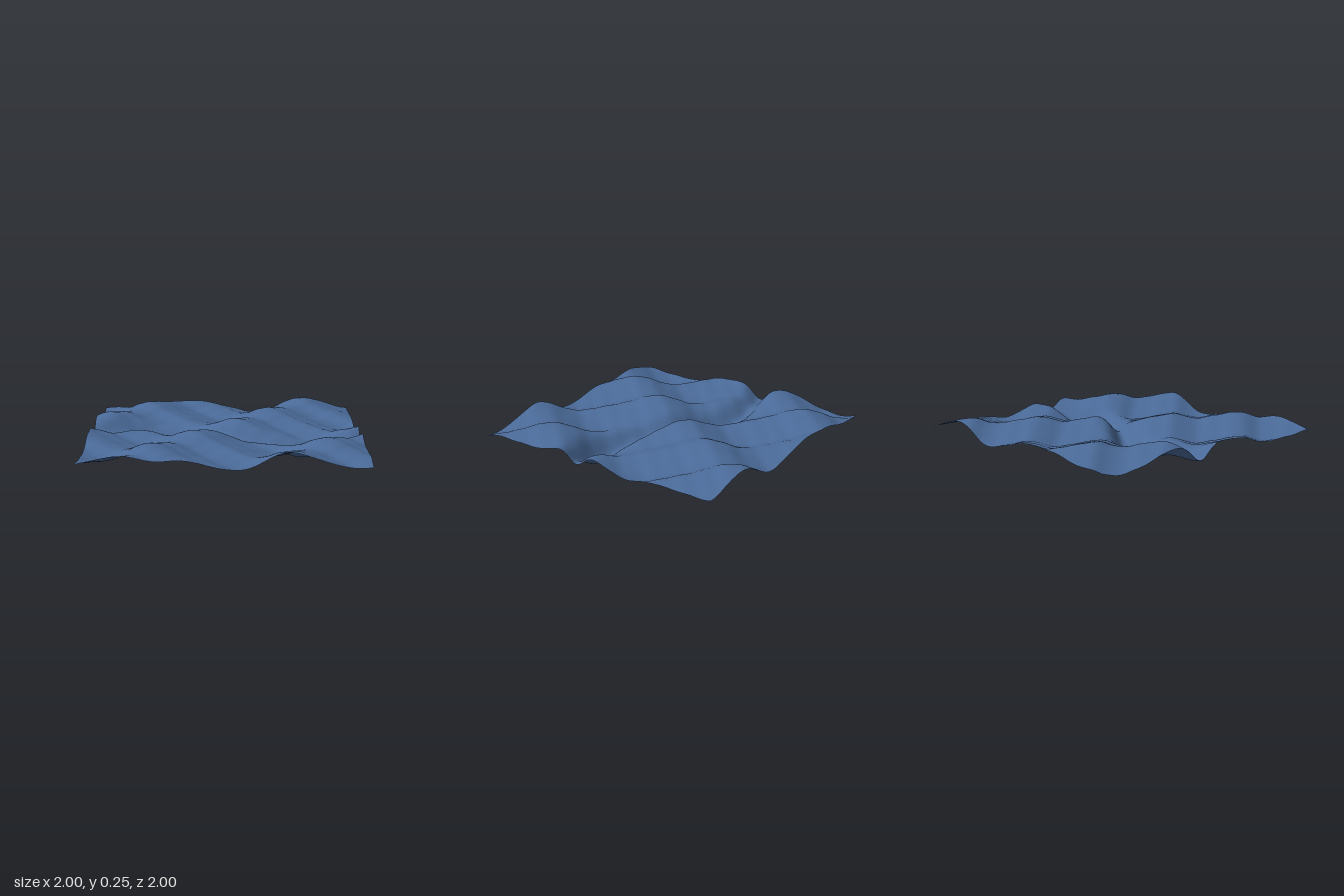
import * as THREE from 'three';

const SIZE = 2;
const SEGMENTS = 160;

// Height of the rolling ground: two crossing swells, finer ripples, and a winding channel
function heightAt(x, z) {
  const swell = 5.7 * x + 3.8 * z;
  const cross = 9 * (x - z);
  const ground =
    0.165 +
    0.042 * Math.cos(swell - 0.33) -
    0.01 * Math.sin(2 * (swell - 0.54)) +
    0.02 * Math.sin(cross) +
    0.004 * Math.sin(2 * cross) +
    0.003 * Math.sin(32 * x) * Math.cos(30 * z);
  const offset = z - 0.01 - 0.205 * Math.sin(2.5 * x);
  const channel = 0.11 * Math.exp(-((offset / 0.1) ** 2));
  return ground - channel;
}

// Flat grid whose vertices are lifted by the height rule
function terrainGeometry() {
  const geometry = new THREE.PlaneGeometry(SIZE, SIZE, SEGMENTS, SEGMENTS);
  geometry.rotateX(-Math.PI / 2);
  const position = geometry.attributes.position;
  for (let i = 0; i < position.count; i++) {
    position.setY(i, heightAt(position.getX(i), position.getZ(i)));
  }
  // Rest the lowest point on the ground
  geometry.computeBoundingBox();
  geometry.translate(0, -geometry.boundingBox.min.y, 0);
  geometry.computeVertexNormals();
  return geometry;
}

export function createModel() {
  const model = new THREE.Group();
  model.name = 'terrain';

  const slateBlue = new THREE.MeshStandardMaterial({ color: 0x4a6a98, side: THREE.DoubleSide });
  slateBlue.name = 'slateBlue';

  const surface = new THREE.Mesh(terrainGeometry(), slateBlue);
  surface.name = 'rollingSurface';
  model.add(surface);

  return model;
}
